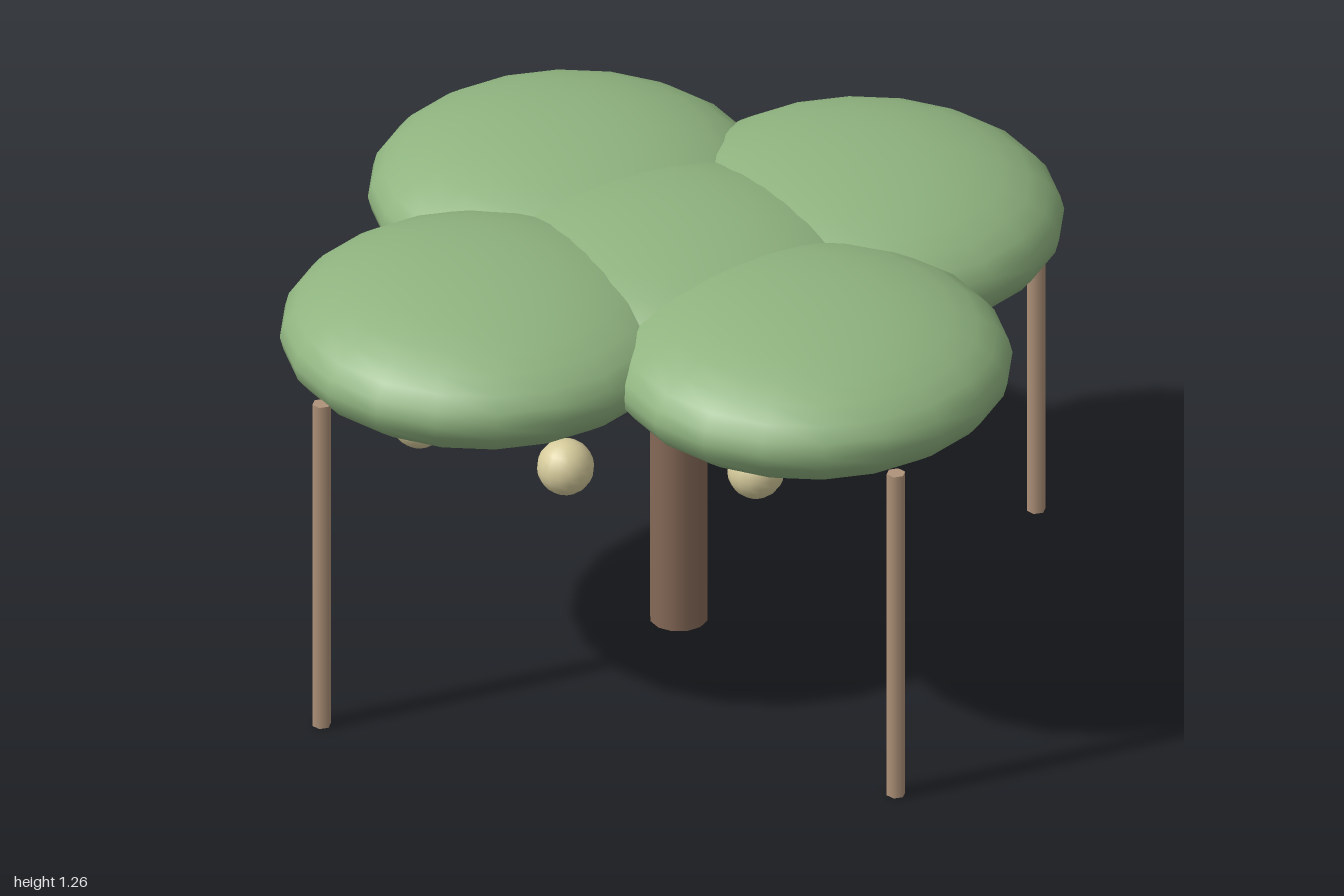
import * as THREE from 'three';

const flat = (name, color) => {
  const m = new THREE.MeshStandardMaterial({ color });
  m.name = name;
  return m;
};

export function createModel() {
  const group = new THREE.Group();
  const leaf = flat('leaf green', 0x8fb37f);
  const bark = flat('bark brown', 0x866a58);
  const wood = flat('pale wood', 0xb0937a);
  const fruit = flat('cream fruit', 0xd6cb9c);

  const add = (name, geometry, material, x, y, z) => {
    const mesh = new THREE.Mesh(geometry, material);
    mesh.name = name;
    mesh.position.set(x, y, z);
    group.add(mesh);
    return mesh;
  };

  // Central trunk, running up into the canopy
  add('trunk', new THREE.CylinderGeometry(0.08, 0.08, 0.95, 12), bark, 0, 0.475, 0.022);

  // Canopy: five overlapping flattened lobes
  const lobe = new THREE.SphereGeometry(0.55, 20, 16);
  lobe.scale(1, 0.205 / 0.55, 1);
  [[0, 0.022], [-0.4, -0.38], [0.4, -0.425], [-0.45, 0.42], [0.45, 0.37]]
    .forEach(([x, z]) => add('canopyLobe', lobe, leaf, x, 1.055, z));

  // Four slender support posts at the corners
  const post = new THREE.CylinderGeometry(0.026, 0.026, 1, 6);
  for (const x of [-0.8, 0.8])
    for (const z of [-0.778, 0.822]) add('supportPost', post, wood, x, 0.5, z);

  // Round fruit hanging under the canopy
  const ball = new THREE.SphereGeometry(0.078, 16, 12);
  [[0.5, -0.53], [0.2, -0.275], [0.65, 0.127], [-0.1, -0.577],
    [0.35, 0.577], [-0.45, -0.225], [-0.155, 0.68], [-0.6, 0.525]]
    .forEach(([x, z]) => add('fruit', ball, fruit, x, 0.812, z));

  return group;
}
